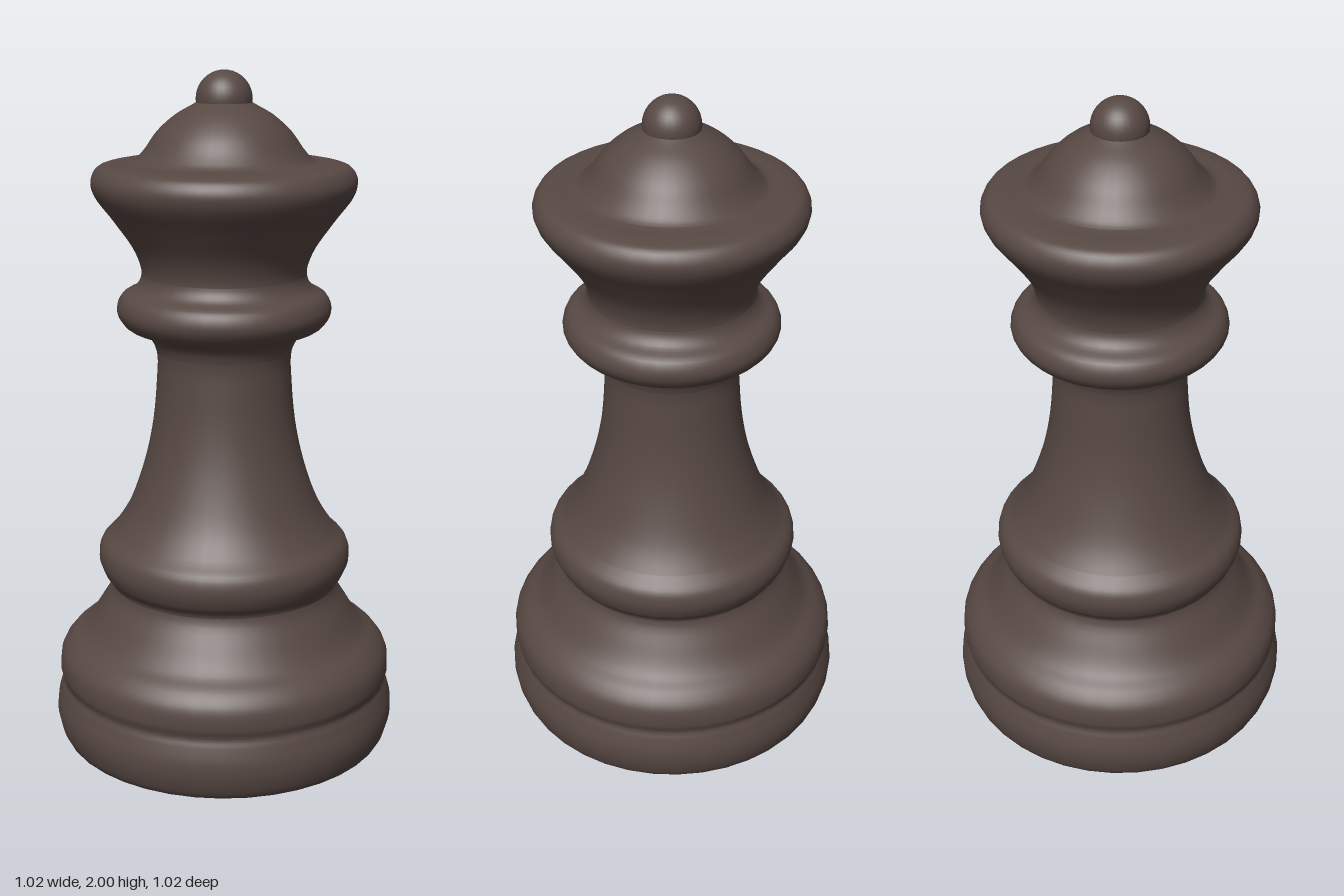
import * as THREE from 'three';

const material = new THREE.MeshStandardMaterial({ color: 0x574843, roughness: 0.7 });
const SIDES = 40;
const STEPS = 5; // samples between neighbouring profile points

// Each turned section continues from the last point of the one below it.
const sections = [
  ['basePlinth', [[0.46, 0], [0.485, 0.015], [0.507, 0.07], [0.51, 0.12], [0.498, 0.17], [0.49, 0.195]]],
  ['baseShoulder', [[0.498, 0.225], [0.493, 0.28], [0.465, 0.32], [0.42, 0.355], [0.375, 0.42], [0.338, 0.495]]],
  ['lowerRing', [[0.36, 0.53], [0.375, 0.575], [0.367, 0.62], [0.33, 0.66]]],
  ['stem', [[0.285, 0.73], [0.24, 0.85], [0.212, 0.97], [0.198, 1.1], [0.197, 1.2]]],
  ['collar', [[0.22, 1.245], [0.285, 1.277], [0.31, 1.32], [0.297, 1.363], [0.255, 1.39], [0.238, 1.425]]],
  ['crown', [[0.255, 1.49], [0.315, 1.58], [0.37, 1.655], [0.379, 1.695], [0.36, 1.73], [0.32, 1.742], [0.26, 1.748]]],
  ['dome', [[0.23, 1.775], [0.19, 1.83], [0.14, 1.875], [0.085, 1.907], [0.05, 1.93]]],
];

export function createModel() {
  const group = new THREE.Group();
  const add = (name, geometry) => {
    const mesh = new THREE.Mesh(geometry, material);
    mesh.name = name;
    group.add(mesh);
    return mesh;
  };

  // One smooth silhouette runs through all sections
  const profile = sections.flatMap(([, points]) => points);
  const curve = new THREE.CatmullRomCurve3(
    profile.map(([r, y]) => new THREE.Vector3(r, y, 0)), false, 'centripetal');
  const samples = curve.getPoints((profile.length - 1) * STEPS)
    .map((p) => new THREE.Vector2(p.x, p.y));

  // Turned sections, cut from the shared silhouette
  let start = 0;
  let end = -1;
  for (const [name, points] of sections) {
    end += points.length;
    add(name, new THREE.LatheGeometry(samples.slice(start * STEPS, end * STEPS + 1), SIDES));
    start = end;
  }

  // Flat underside
  add('underside', new THREE.CircleGeometry(0.46, SIDES)).rotation.x = Math.PI / 2;

  // Ball on top of the dome
  add('finial', new THREE.SphereGeometry(0.08, 32, 20)).position.y = 1.92;

  return group;
}
